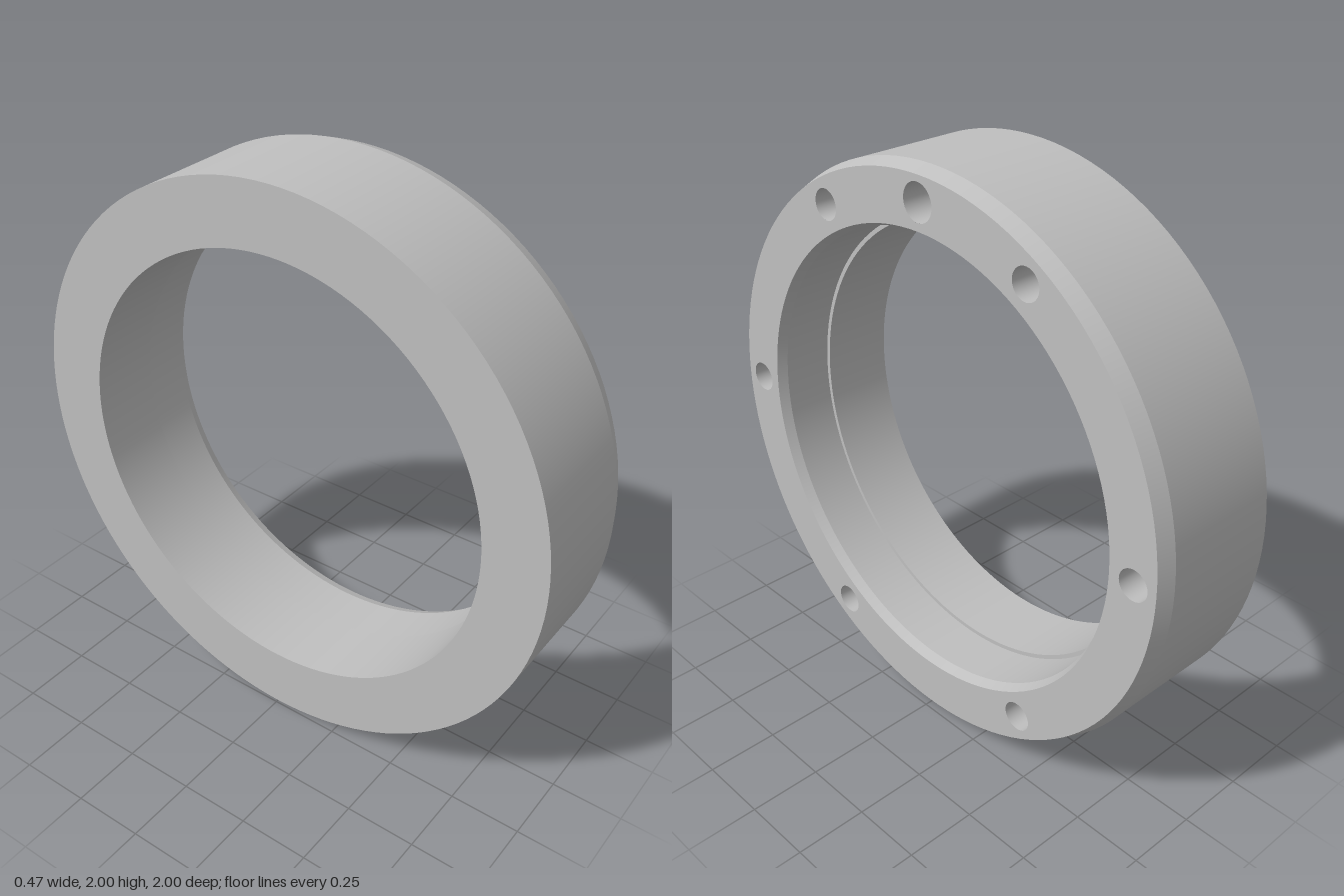
import * as THREE from 'three';

const SEGMENTS = 128;
const FRONT = 0.235, BACK = -0.24;
const FACE_OUTER = 0.98, FACE_INNER = 0.805;

// Revolve each profile segment [radius, x] separately so the edges between them stay sharp
function revolve(profile, segments, material, names) {
  const group = new THREE.Group();
  for (let i = 0; i < profile.length - 1; i++) {
    const points = [profile[i], profile[i + 1]].map(([r, x]) => new THREE.Vector2(r, x));
    const geometry = new THREE.LatheGeometry(points, segments);
    geometry.rotateZ(-Math.PI / 2); // lathe axis onto +x
    const mesh = new THREE.Mesh(geometry, material);
    mesh.name = names[i];
    group.add(mesh);
  }
  return group;
}

export function createModel() {
  const metal = new THREE.MeshStandardMaterial({ color: 0xbfbfbf });
  metal.name = 'greyMetal';

  const model = new THREE.Group();
  model.name = 'flangeRing';

  // Ring body: outer wall, stepped bore and back face (the drilled face is added below)
  const body = revolve(
    [[FACE_INNER, FRONT], [0.79, 0.2], [0.79, 0.02], [0.775, 0.02], [0.775, BACK],
      [1, BACK], [1, 0.18], [FACE_OUTER, FRONT]],
    SEGMENTS, metal,
    ['boreChamfer', 'wideBore', 'boreStep', 'narrowBore', 'backFace', 'outerWall', 'outerChamfer']
  );
  body.name = 'ringBody';
  model.add(body);

  // Six evenly spaced holes on the bolt circle, plus a larger one at the top
  const boltCircle = 0.895;
  const holes = [{ angle: Math.PI / 2, radius: 0.063 }];
  for (let i = 0; i < 6; i++) holes.push({ angle: i * Math.PI / 3, radius: 0.053 });

  // Drilled face
  const shape = new THREE.Shape().absarc(0, 0, FACE_OUTER, 0, Math.PI * 2);
  shape.holes.push(new THREE.Path().absarc(0, 0, FACE_INNER, 0, Math.PI * 2, true));
  for (const { angle, radius } of holes) {
    shape.holes.push(new THREE.Path().absarc(
      boltCircle * Math.cos(angle), boltCircle * Math.sin(angle), radius, 0, Math.PI * 2, true));
  }
  const face = new THREE.Mesh(new THREE.ShapeGeometry(shape, SEGMENTS / 2), metal);
  face.name = 'drilledFace';
  face.rotation.y = Math.PI / 2;
  face.position.set(FRONT, 1, 0);

  // Blind holes with conical drill tips
  holes.forEach(({ angle, radius }, i) => {
    const hole = revolve(
      [[radius, 0], [radius, -0.2], [0, -0.2 - radius * 0.6]],
      SEGMENTS / 2, metal, ['holeWall', 'holeTip']
    );
    hole.name = i === 0 ? 'largeHole' : 'boltHole' + i;
    hole.position.set(FRONT, boltCircle * Math.sin(angle), -boltCircle * Math.cos(angle));
    body.add(hole);
  });

  body.position.y = 1;
  model.add(face);
  return model;
}
